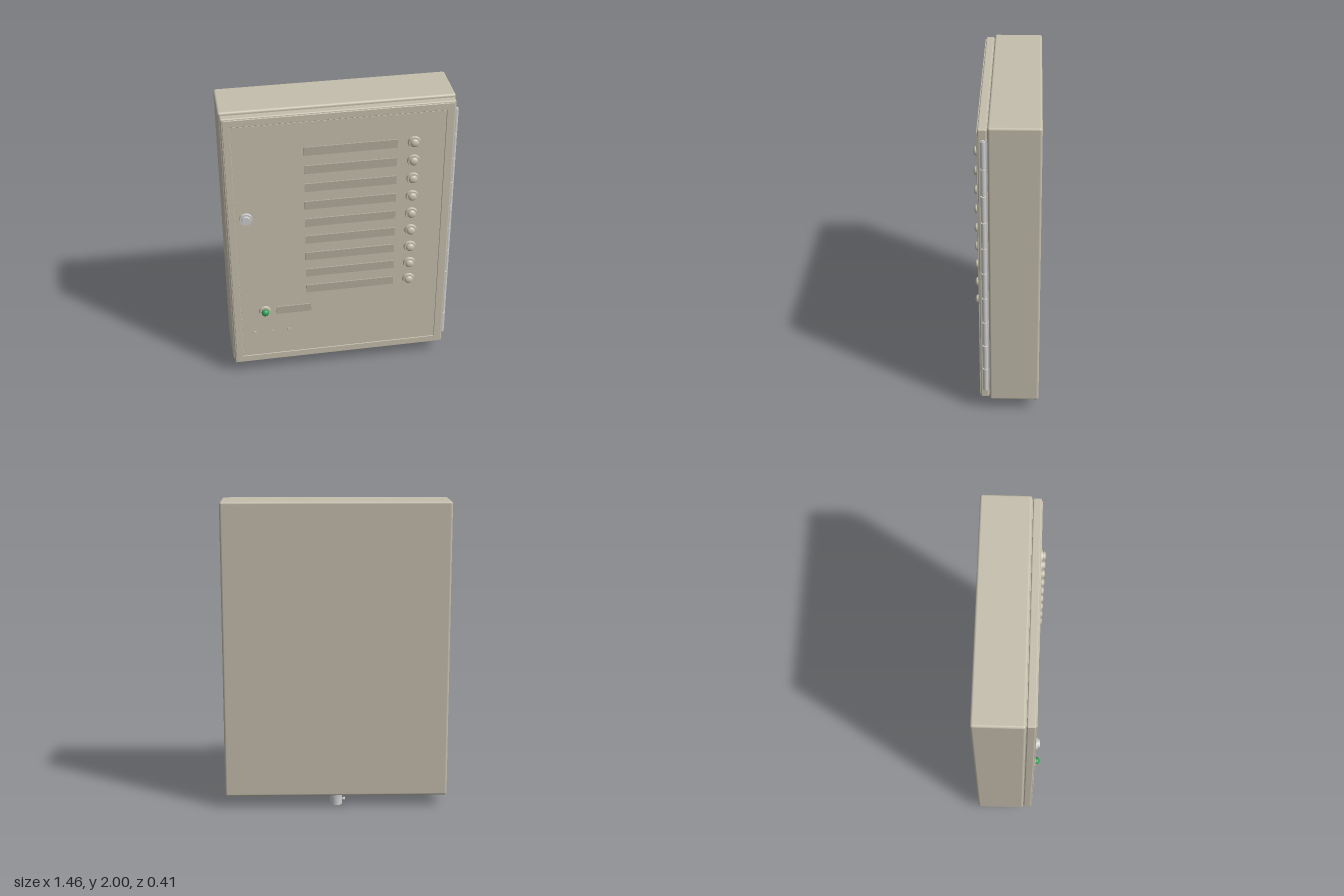
import * as THREE from 'three';
import { RoundedBoxGeometry } from 'three/addons/geometries/RoundedBoxGeometry.js';

const paint = new THREE.MeshStandardMaterial({ color: 0xc4beac });
const plate = new THREE.MeshStandardMaterial({ color: 0xb3aa9c });
const metal = new THREE.MeshStandardMaterial({ color: 0xcccccc });
const green = new THREE.MeshStandardMaterial({ color: 0x2f9e55 });

export function createModel() {
  const model = new THREE.Group();

  function add(parent, name, geometry, material, x = 0, y = 0, z = 0) {
    const mesh = new THREE.Mesh(geometry, material);
    mesh.name = name;
    mesh.position.set(x, y, z);
    parent.add(mesh);
    return mesh;
  }
  function group(name, x = 0, y = 0, z = 0) {
    const g = new THREE.Group();
    g.name = name;
    g.position.set(x, y, z);
    model.add(g);
    return g;
  }
  // Box given by its extents
  function block(parent, name, material, x0, x1, y0, y1, z0, z1, radius = 0) {
    const size = [x1 - x0, y1 - y0, z1 - z0];
    const geometry = radius ? new RoundedBoxGeometry(...size, 4, radius) : new THREE.BoxGeometry(...size);
    return add(parent, name, geometry, material, (x0 + x1) / 2, (y0 + y1) / 2, (z0 + z1) / 2);
  }
  // Disc or stub pointing out of the door
  function stub(parent, name, material, r0, r1, z0, z1, sides = 32) {
    const geometry = new THREE.CylinderGeometry(r1, r0, z1 - z0, sides).rotateX(Math.PI / 2);
    return add(parent, name, geometry, material, 0, 0, (z0 + z1) / 2);
  }
  // Flattened half sphere on a stub
  function dome(parent, name, material, r, height, z) {
    const geometry = new THREE.SphereGeometry(r, 24, 10, 0, Math.PI * 2, 0, Math.PI / 2);
    geometry.scale(1, height / r, 1).rotateX(Math.PI / 2);
    return add(parent, name, geometry, material, 0, 0, z);
  }
  function roundedRect(path, x0, x1, y0, y1, r) {
    path.moveTo(x0 + r, y0);
    path.lineTo(x1 - r, y0).absarc(x1 - r, y0 + r, r, -Math.PI / 2, 0);
    path.lineTo(x1, y1 - r).absarc(x1 - r, y1 - r, r, 0, Math.PI / 2);
    path.lineTo(x0 + r, y1).absarc(x0 + r, y1 - r, r, Math.PI / 2, Math.PI);
    path.lineTo(x0, y0 + r).absarc(x0 + r, y0 + r, r, Math.PI, Math.PI * 1.5);
    return path;
  }

  // Cabinet body and the seal between body and door
  block(model, 'cabinetBody', paint, -0.732, 0.718, 0.08, 2, -0.207, 0.105, 0.015);
  block(model, 'doorSeal', paint, -0.712, 0.698, 0.105, 1.975, 0.09, 0.115);

  // Door slab with a raised rim around a shallow panel
  block(model, 'door', paint, -0.722, 0.708, 0.095, 1.986, 0.11, 0.161, 0.008);
  const rimShape = roundedRect(new THREE.Shape(), -0.709, 0.697, 0.108, 1.974, 0.012);
  rimShape.holes.push(roundedRect(new THREE.Path(), -0.669, 0.653, 0.152, 1.933, 0.004));
  const rimGeometry = new THREE.ExtrudeGeometry(rimShape, {
    depth: 0.008, bevelThickness: 0.003, bevelSize: 0.003, bevelSegments: 3, curveSegments: 6,
  });
  add(model, 'doorRim', rimGeometry, paint, 0, 0, 0.157);
  block(model, 'doorPanel', paint, -0.664, 0.648, 0.157, 1.928, 0.155, 0.166);

  // Hinge: knuckles on a pin, with a leaf in the door gap
  const hinge = group('hinge', 0.715, 0, 0.13);
  const hingeBottom = 0.157, hingeTop = 1.922, knuckles = 10;
  const pitch = (hingeTop - hingeBottom) / knuckles;
  for (let i = 0; i < knuckles; i++) {
    const geometry = new THREE.CylinderGeometry(0.016, 0.016, pitch - 0.01, 16);
    add(hinge, 'hingeKnuckle', geometry, metal, 0, hingeBottom + (i + 0.5) * pitch, 0);
  }
  add(hinge, 'hingePin', new THREE.CylinderGeometry(0.009, 0.009, hingeTop - hingeBottom, 12), metal,
    0, (hingeBottom + hingeTop) / 2, 0);
  block(hinge, 'hingeLeaf', metal, -0.05, 0, hingeBottom, hingeTop, -0.023, -0.017);

  // Nine label plates, each with a push button
  for (let i = 0; i < 9; i++) {
    const y = 1.727 - i * 0.131;
    block(model, 'labelPlate', plate, -0.23, 0.349, y - 0.029, y + 0.029, 0.16, 0.174);
    const button = group('pushButton', 0.453, y, 0);
    stub(button, 'buttonBezel', paint, 0.041, 0.036, 0.164, 0.18);
    stub(button, 'buttonStem', paint, 0.027, 0.027, 0.178, 0.185);
    dome(button, 'buttonCap', paint, 0.027, 0.014, 0.185);
  }

  // Green indicator lamp and its label
  const lamp = group('indicatorLamp', -0.507, 0.525, 0);
  stub(lamp, 'lampBezel', paint, 0.041, 0.037, 0.164, 0.181);
  stub(lamp, 'lampBase', green, 0.024, 0.024, 0.178, 0.188);
  dome(lamp, 'lampLens', green, 0.024, 0.019, 0.188);
  block(model, 'lampLabel', plate, -0.43, -0.2, 0.495, 0.553, 0.16, 0.174);

  // Three small studs
  for (let i = 0; i < 3; i++) {
    stub(group('stud', -0.584 + i * 0.1165, 0.348, 0), 'studHead', paint, 0.014, 0.014, 0.16, 0.174, 20);
  }

  // Door lock
  const lock = group('doorLock', -0.602, 1.272, 0);
  stub(lock, 'lockFlange', metal, 0.042, 0.04, 0.164, 0.181);
  stub(lock, 'lockBarrel', metal, 0.029, 0.027, 0.18, 0.195);

  // Cable gland under the cabinet, with a side clamp screw
  const gland = group('cableGland', -0.008, 0, -0.127);
  add(gland, 'glandNut', new THREE.CylinderGeometry(0.045, 0.045, 0.026, 6), metal, 0, 0.07, 0);
  add(gland, 'glandBarrel', new THREE.CylinderGeometry(0.039, 0.039, 0.062, 32), metal, 0, 0.031, 0);
  const screw = new THREE.CylinderGeometry(0.007, 0.007, 0.03, 12).rotateZ(Math.PI / 2);
  add(gland, 'clampScrew', screw, metal, -0.04, 0.032, 0);
  const screwHead = new THREE.CylinderGeometry(0.012, 0.012, 0.009, 16).rotateZ(Math.PI / 2);
  add(gland, 'clampScrewHead', screwHead, metal, -0.053, 0.032, 0);

  return model;
}
